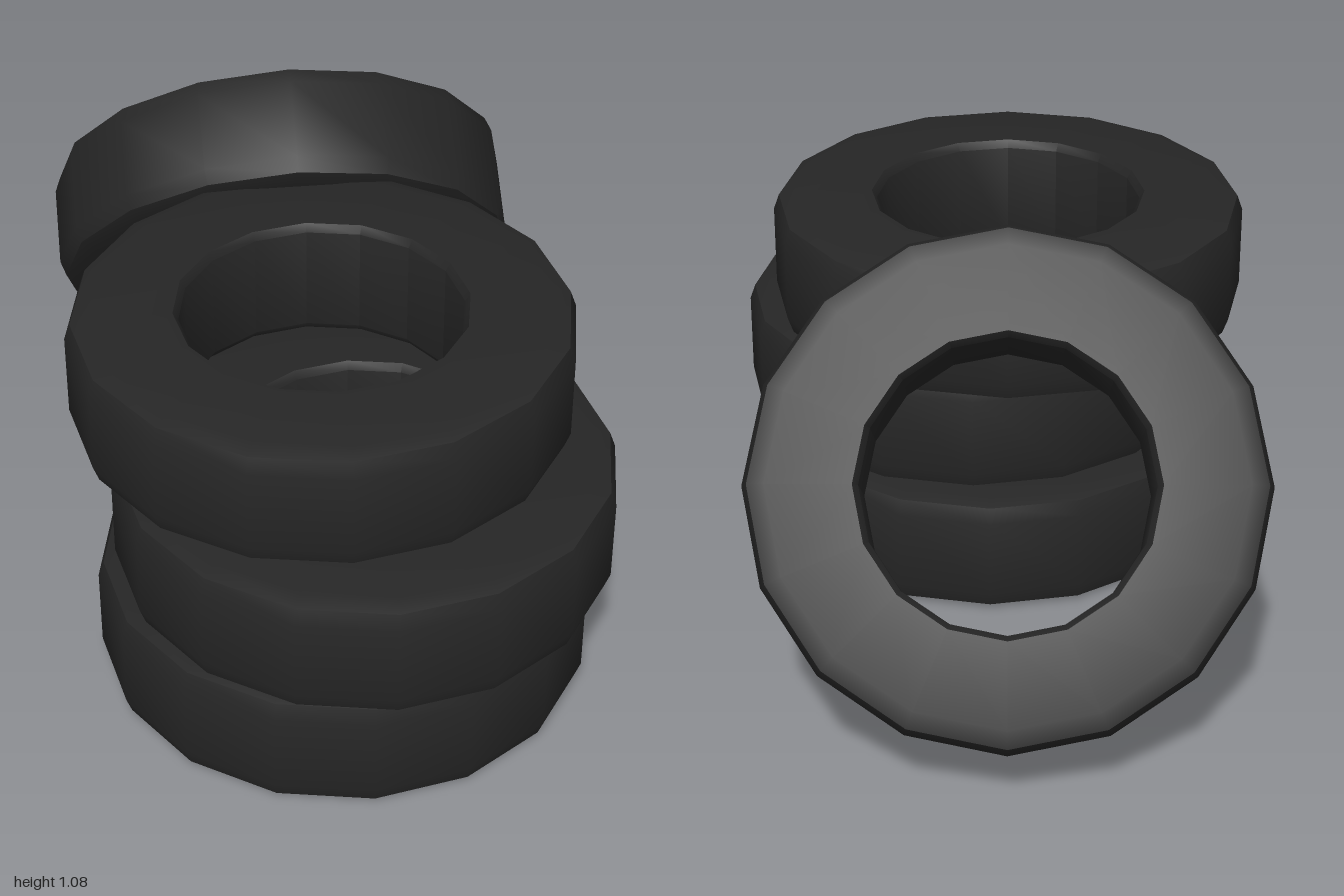
import * as THREE from 'three';
import { toCreasedNormals } from 'three/addons/utils/BufferGeometryUtils.js';

// One 16-sided tyre, axis along y, centred on its middle
function tyreGeometry() {
  // half of the outer shoulder, from tread to hole: [radius, height]
  const half = [[0.56, 0.095], [0.547, 0.131], [0.51, 0.143], [0.325, 0.143], [0.313, 0.125]];
  const upper = half.map(([r, y]) => new THREE.Vector2(r, y));
  const lower = half.map(([r, y]) => new THREE.Vector2(r, -y)).reverse();
  const profile = [...lower, ...upper, lower[0].clone()];
  return toCreasedNormals(new THREE.LatheGeometry(profile, 16), 0.6);
}

export function createModel() {
  const group = new THREE.Group();
  group.name = 'tyrePile';
  const rubber = new THREE.MeshStandardMaterial({ color: 0x262626 });
  const geometry = tyreGeometry();

  // Three stacked tyres and one leaning against the back: name, position, tilt about x
  const tyres = [
    ['bottomTyre', [0, 0.146, 0.39], 0],
    ['middleTyre', [0.04, 0.445, 0.435], 0],
    ['topTyre', [-0.04, 0.743, 0.305], 0],
    ['leaningTyre', [-0.04, 0.563, -0.577], -0.962],
  ];
  for (const [name, position, tilt] of tyres) {
    const tyre = new THREE.Mesh(geometry, rubber);
    tyre.name = name;
    tyre.position.set(...position);
    tyre.rotation.x = tilt;
    group.add(tyre);
  }
  return group;
}
